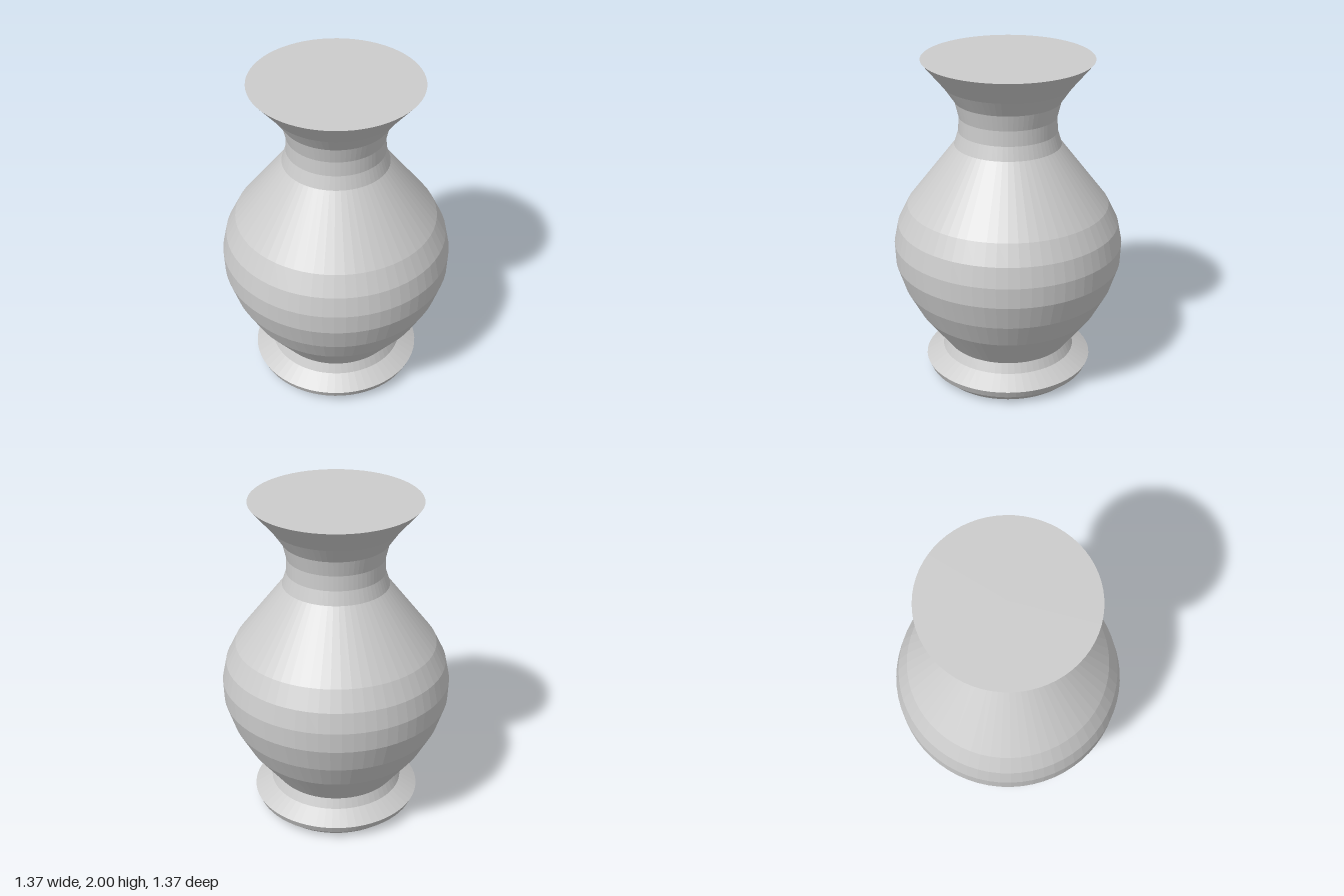
import * as THREE from 'three';

const SEGMENTS = 64;

// Turns an outline of [radius, height] pairs around the vertical axis.
function turned(name, outline, material) {
  const points = outline.map(([r, y]) => new THREE.Vector2(r, y));
  const mesh = new THREE.Mesh(new THREE.LatheGeometry(points, SEGMENTS), material);
  mesh.name = name;
  return mesh;
}

export function createModel() {
  const vase = new THREE.Group();
  vase.name = 'vase';
  const material = new THREE.MeshStandardMaterial({ color: 0xcccccc, flatShading: true });

  // Closed foot with a flared ring and a short collar
  vase.add(turned('foot', [
    [0, 0], [0.435, 0], [0.49, 0.05], [0.51, 0.095], [0.405, 0.16], [0.38, 0.22],
  ], material));

  // Round belly, tapering to the shoulder
  vase.add(turned('belly', [
    [0.38, 0.22], [0.545, 0.44], [0.63, 0.6], [0.68, 0.755], [0.685, 0.88],
    [0.66, 1.0], [0.6, 1.12], [0.315, 1.49],
  ], material));

  // Narrow neck, opening into the flared mouth with a flat top
  vase.add(turned('neckAndMouth', [
    [0.315, 1.49], [0.29, 1.57], [0.287, 1.66], [0.31, 1.755], [0.375, 1.85],
    [0.5, 2], [0, 2],
  ], material));

  return vase;
}
